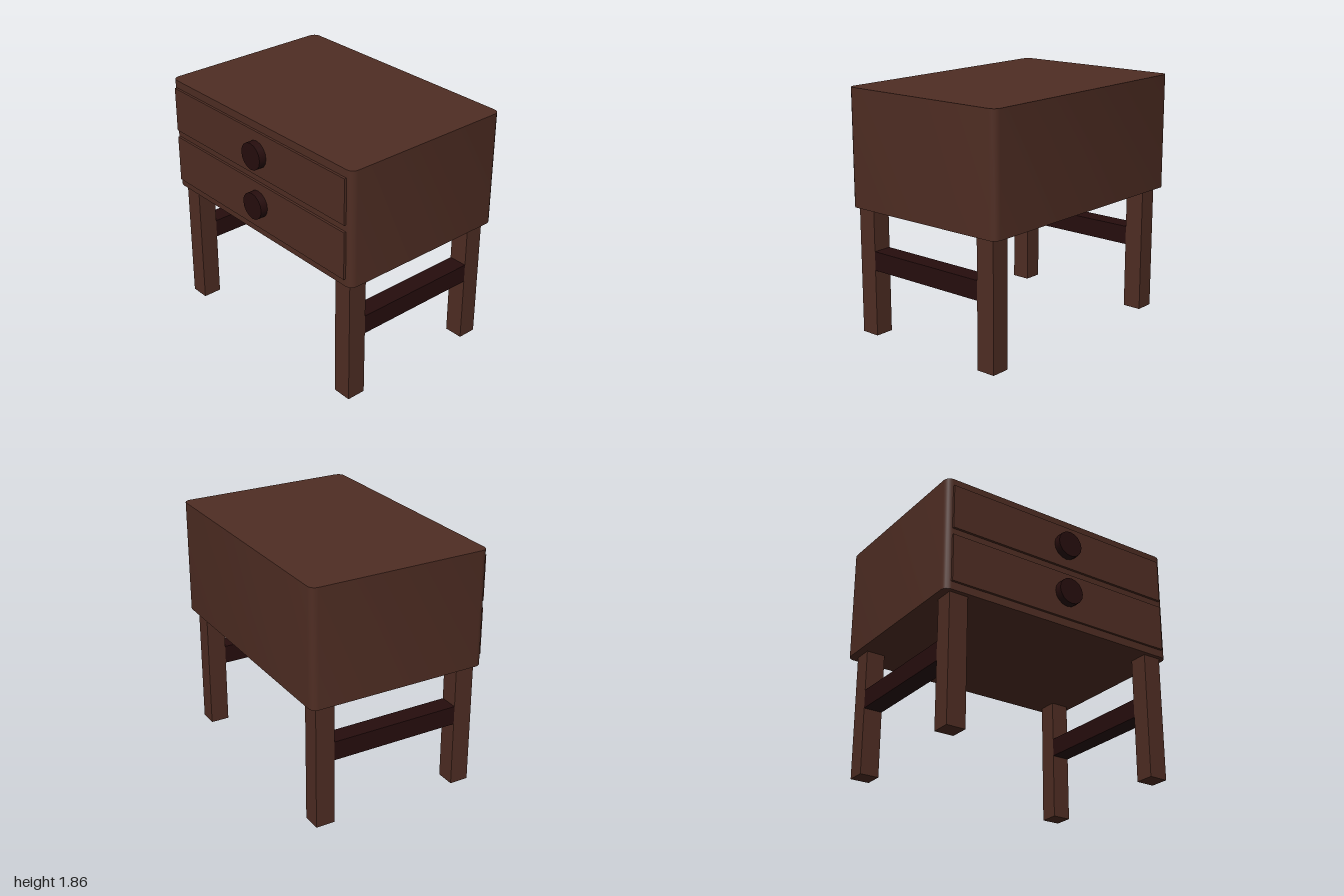
import * as THREE from 'three';
import { toCreasedNormals } from 'three/addons/utils/BufferGeometryUtils.js';

const wood = new THREE.MeshStandardMaterial({ color: 0x4f2d23 });
wood.name = 'brown wood';
const darkWood = new THREE.MeshStandardMaterial({ color: 0x260d0d });
darkWood.name = 'dark wood';

export function createModel() {
  const group = new THREE.Group();
  const add = (name, geometry, material) => {
    const mesh = new THREE.Mesh(geometry, material);
    mesh.name = name;
    group.add(mesh);
    return mesh;
  };
  // Box given by its extents on each axis
  const addBox = (name, material, [x0, x1], [y0, y1], [z0, z1]) =>
    add(name, new THREE.BoxGeometry(x1 - x0, y1 - y0, z1 - z0), material)
      .position.set((x0 + x1) / 2, (y0 + y1) / 2, (z0 + z1) / 2);

  // Cabinet: rounded rectangle in plan, extruded upwards
  const x = 1, front = 0.66, back = -0.735, r = 0.053;
  const plan = new THREE.Shape();
  plan.absarc(x - r, -back - r, r, 0, Math.PI / 2);
  plan.absarc(-x + r, -back - r, r, Math.PI / 2, Math.PI);
  plan.absarc(-x + r, -front + r, r, Math.PI, Math.PI * 1.5);
  plan.absarc(x - r, -front + r, r, Math.PI * 1.5, Math.PI * 2);
  const cabinet = new THREE.ExtrudeGeometry(plan, { depth: 0.885, bevelEnabled: false, curveSegments: 2 });
  cabinet.rotateX(-Math.PI / 2).translate(0, 0.975, 0);
  add('cabinet', toCreasedNormals(cabinet, 0.9), wood);

  // Drawer fronts with round knobs
  for (const [name, y0, y1, knobY] of [['upper', 1.455, 1.8, 1.627], ['lower', 1.035, 1.4, 1.233]]) {
    addBox(name + 'Drawer', wood, [-0.95, 0.947], [y0, y1], [0.64, 0.678]);
    const knob = new THREE.CylinderGeometry(0.103, 0.103, 0.057, 16).rotateX(Math.PI / 2);
    add(name + 'Knob', knob, darkWood).position.set(0.033, knobY, 0.7065);
  }

  // Legs, with a stretcher joining front and back on each side
  for (const [side, span] of [['right', [-0.94, -0.793]], ['left', [0.806, 0.953]]]) {
    addBox(side + 'FrontLeg', wood, span, [0, 0.975], [0.48, 0.627]);
    addBox(side + 'BackLeg', wood, span, [0, 0.975], [-0.675, -0.528]);
    addBox(side + 'Stretcher', darkWood, span, [0.51, 0.655], [-0.528, 0.48]);
  }
  return group;
}
